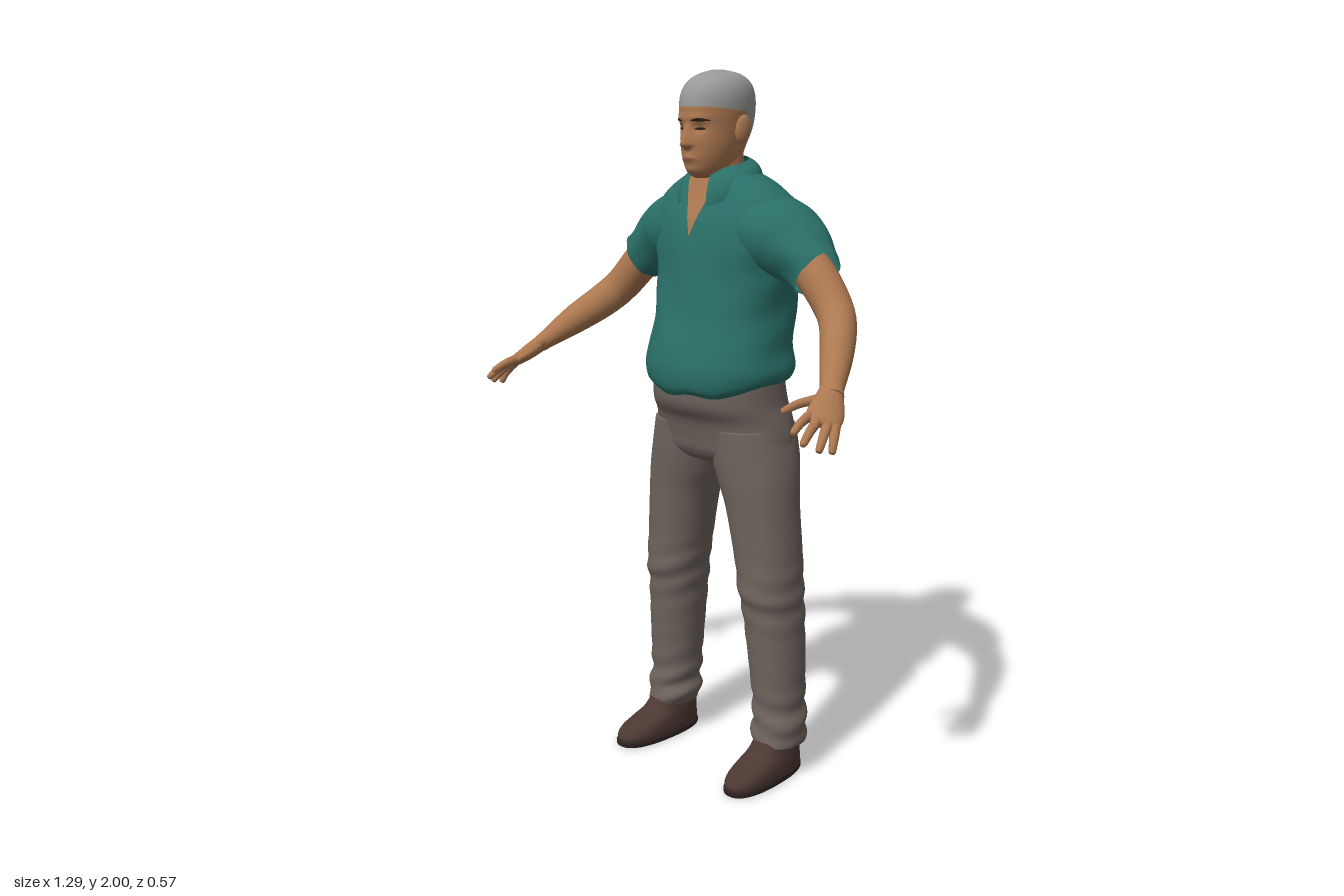
import * as THREE from 'three';

const mat = (name, color, side = THREE.FrontSide) => {
  const m = new THREE.MeshStandardMaterial({ color, side });
  m.name = name;
  return m;
};

// Catmull-Rom blend of rows of numbers, t from 0 to 1
function sample(rows, t) {
  const f = Math.min(Math.max(t, 0), 1) * (rows.length - 1);
  const i = Math.min(Math.floor(f), rows.length - 2), k = f - i;
  const row = (j) => rows[Math.min(Math.max(j, 0), rows.length - 1)];
  return rows[0].map((_, c) => {
    const [a, b, d, e] = [row(i - 1)[c], row(i)[c], row(i + 1)[c], row(i + 2)[c]];
    return b + 0.5 * k * (d - a + k * (2 * a - 5 * b + 4 * d - e + k * (3 * (b - d) + e - a)));
  });
}

// Surface grid from fn(u, v); optionally closed around u, capped, and split in two materials
function grid(nu, nv, fn, { wrap = true, caps = false, second = null } = {}) {
  const cols = wrap ? nu : nu + 1, pts = [], lists = [[], []];
  for (let j = 0; j <= nv; j++) for (let i = 0; i < cols; i++) pts.push(fn(i / nu, j / nv));
  const tri = (a, b, c) => {
    const mid = pts[a].clone().add(pts[b]).add(pts[c]).divideScalar(3);
    lists[second && second(mid) ? 1 : 0].push(a, b, c);
  };
  const at = (i, j) => j * cols + (wrap ? i % nu : i);
  for (let j = 0; j < nv; j++) for (let i = 0; i < nu; i++) {
    tri(at(i, j), at(i + 1, j), at(i + 1, j + 1));
    tri(at(i, j), at(i + 1, j + 1), at(i, j + 1));
  }
  if (caps) for (const j of [0, nv]) {
    const c = new THREE.Vector3();
    for (let i = 0; i < nu; i++) c.addScaledVector(pts[at(i, j)], 1 / nu);
    const n = pts.push(c) - 1;
    for (let i = 0; i < nu; i++) j ? tri(at(i, j), at(i + 1, j), n) : tri(at(i + 1, j), at(i, j), n);
  }
  const g = new THREE.BufferGeometry().setFromPoints(pts);
  g.setIndex([...lists[0], ...lists[1]]);
  if (second) {
    g.addGroup(0, lists[0].length, 0);
    g.addGroup(lists[0].length, lists[1].length, 1);
  }
  g.computeVertexNormals();
  return g;
}

// Upright loft; rows are [y, centre x, front z, back z, half width], bottom to top
function loft(rows, { nu = 48, nv = 40, n = 2, warp = null, ...rest } = {}) {
  const pw = (c) => Math.sign(c) * Math.abs(c) ** (2 / n);
  return grid(nu, nv, (u, v) => {
    const [y, cx, zf, zb, hw] = sample(rows, v), a = u * Math.PI * 2;
    const p = new THREE.Vector3(cx + hw * pw(Math.cos(a)), y, (zf + zb) / 2 - ((zf - zb) / 2) * pw(Math.sin(a)));
    if (warp) warp(p, v, (zf + zb) / 2);
    return p;
  }, { caps: true, ...rest });
}

// Limb along a path; rows are [x, y, z, sideways radius, upright radius]
function limb(rows, { nu = 20, nv = 24, roll = 0, caps = true, warp = null } = {}) {
  const pos = (t) => new THREE.Vector3(...sample(rows, t).slice(0, 3));
  return grid(nu, nv, (u, v) => {
    const r = sample(rows, v), a = u * Math.PI * 2;
    const T = pos(v + 0.02).sub(pos(v - 0.02)).normalize();
    const S = new THREE.Vector3(0, 1, 0).cross(T).normalize().applyAxisAngle(T, roll);
    const N = T.clone().cross(S), k = warp ? warp(a, v) : 1;
    return pos(v).addScaledVector(S, r[3] * k * Math.cos(a)).addScaledVector(N, r[4] * k * Math.sin(a));
  }, { caps });
}

// Front surface z of an upright loft at (x, y)
function frontZ(rows, x, y, n = 2) {
  let lo = 0, hi = 1;
  for (let i = 0; i < 24; i++) {
    const m = (lo + hi) / 2;
    if (sample(rows, m)[0] < y) lo = m; else hi = m;
  }
  const [, , zf, zb, hw] = sample(rows, lo);
  return (zf + zb) / 2 + ((zf - zb) / 2) * Math.max(0, 1 - Math.abs(x / hw) ** n) ** (1 / n);
}

const HEAD = [[1.715, 0, 0.012, -0.05, 0.022], [1.73, 0, 0.034, -0.1, 0.045], [1.76, 0, 0.045, -0.135, 0.063],
  [1.8, 0, 0.05, -0.155, 0.075], [1.85, 0, 0.05, -0.18, 0.083], [1.9, 0, 0.052, -0.188, 0.088],
  [1.94, 0, 0.044, -0.184, 0.086], [1.97, 0, 0.022, -0.168, 0.073], [1.99, 0, -0.015, -0.135, 0.048], [2, 0, -0.055, -0.085, 0.012]];
const TORSO = [[1.14, 0, 0.085, -0.235, 0.195], [1.16, 0, 0.1, -0.255, 0.212], [1.2, 0, 0.105, -0.265, 0.22],
  [1.26, 0, 0.095, -0.265, 0.208], [1.35, 0, 0.072, -0.275, 0.202], [1.45, 0, 0.055, -0.284, 0.21],
  [1.53, 0, 0.045, -0.282, 0.228], [1.6, 0, 0.03, -0.265, 0.235], [1.65, 0, 0.01, -0.242, 0.222],
  [1.69, 0, -0.005, -0.212, 0.175], [1.725, 0, -0.017, -0.18, 0.11], [1.745, 0, -0.025, -0.16, 0.075]];
const PELVIS = [[0.905, 0, -0.06, -0.15, 0.06], [0.93, 0, 0, -0.215, 0.17], [0.96, 0, 0.025, -0.235, 0.222],
  [1.0, 0, 0.035, -0.245, 0.224], [1.05, 0, 0.05, -0.25, 0.213], [1.1, 0, 0.08, -0.245, 0.2], [1.18, 0, 0.085, -0.235, 0.19]];
const LEG = [[0.1, 0.217, -0.03, -0.19, 0.068], [0.14, 0.215, -0.028, -0.192, 0.077], [0.2, 0.211, -0.036, -0.192, 0.072],
  [0.35, 0.202, -0.026, -0.196, 0.078], [0.5, 0.191, -0.012, -0.2, 0.083], [0.56, 0.186, 0, -0.2, 0.086], [0.65, 0.176, 0, -0.2, 0.092],
  [0.8, 0.154, 0.01, -0.203, 0.101], [0.88, 0.135, 0.018, -0.216, 0.113], [0.95, 0.118, 0.025, -0.233, 0.117], [1.03, 0.108, 0.03, -0.235, 0.106]];
const SHOE = [[0.014, 0.218, 0.112, -0.186, 0.058], [0.03, 0.218, 0.114, -0.187, 0.06], [0.048, 0.218, 0.098, -0.186, 0.059],
  [0.065, 0.217, 0.055, -0.184, 0.057], [0.085, 0.216, 0.005, -0.18, 0.054], [0.125, 0.216, -0.035, -0.172, 0.05]];
const SOLE = [[0, 0.218, 0.112, -0.184, 0.059], [0.004, 0.218, 0.117, -0.19, 0.062], [0.016, 0.218, 0.118, -0.19, 0.062], [0.02, 0.218, 0.114, -0.186, 0.059]];

// Relief of the face: nose, brow, sockets, lips and chin
function relief(x, y) {
  const bump = (cx, cy, sx, sy) => Math.exp(-(((Math.abs(x) - cx) / sx) ** 2) - ((y - cy) / sy) ** 2);
  const ridge = y > 1.803 ? Math.max(0, 1 - (y - 1.803) / 0.06) : Math.max(0, 1 - (1.803 - y) / 0.014);
  return 0.027 * ridge * Math.exp(-((x / (0.008 + 0.007 * ridge)) ** 2)) + 0.006 * bump(0, 1.766, 0.022, 0.01)
    + 0.005 * bump(0.03, 1.873, 0.03, 0.01) - 0.008 * bump(0.034, 1.846, 0.016, 0.013) + 0.004 * bump(0, 1.738, 0.02, 0.012);
}

export function createModel() {
  const model = new THREE.Group();
  model.name = 'standingMan';
  const skin = mat('skin', 0xac7850), hair = mat('greyHair', 0x989896), shirt = mat('tealShirt', 0x2a7068, THREE.DoubleSide);
  const cloth = mat('trouserCloth', 0x6e645d), leather = mat('shoeLeather', 0x4c3832), soleMat = mat('shoeSole', 0x2e2320);
  const dark = mat('browAndEye', 0x2c1d17), lip = mat('lips', 0x8f5b45);
  const add = (name, geometry, material) => {
    const m = new THREE.Mesh(geometry, material);
    m.name = name;
    model.add(m);
    return m;
  };

  // Head with cropped hair running down behind the ears
  add('head', loft(HEAD, {
    nu: 112, nv: 110,
    warp: (p, v, cz) => { if (p.z > cz) p.z += relief(p.x, p.y); },
    second: (p) => p.y > 1.903 - 0.1 * Math.max(0, 0.03 - p.z) - 3 * Math.max(0, -0.09 - p.z),
  }), [skin, hair]);
  add('neck', loft([[1.58, 0, -0.02, -0.16, 0.07], [1.68, 0, -0.022, -0.155, 0.064], [1.74, 0, -0.015, -0.15, 0.062], [1.8, 0, -0.01, -0.145, 0.06]]), skin);

  // Thin facial details laid over the face
  const patch = (name, cx, cy, w, h, material, bend) => {
    const g = new THREE.PlaneGeometry(w, h, 12, 3), p = g.attributes.position;
    for (let i = 0; i < p.count; i++) {
      const k = (2 * p.getX(i)) / w, x = cx + p.getX(i);
      const y = cy + p.getY(i) * (1 - 0.8 * k * k) - bend * k * k;
      p.setXYZ(i, x, y, frontZ(HEAD, x, y) + relief(x, y) + 0.0025);
    }
    g.computeVertexNormals();
    add(name, g, material);
  };
  patch('mouth', 0, 1.766, 0.046, 0.011, lip, 0.001);
  for (const s of [1, -1]) {
    patch('eyebrow', s * 0.038, 1.869, 0.044, 0.008, dark, 0.003);
    patch('eye', s * 0.035, 1.846, 0.026, 0.007, dark, 0.001);
    const ear = add('ear', new THREE.SphereGeometry(1, 20, 14), skin);
    ear.scale.set(0.011, 0.038, 0.023);
    ear.position.set(s * 0.09, 1.845, -0.072);
    ear.rotation.set(-0.15, s * -0.3, s * -0.12);
  }

  // Shirt body with soft folds and a hem that dips in front
  add('shirtBody', loft(TORSO, {
    nu: 80, nv: 70, n: 2.25,
    warp: (p, v, cz) => {
      const fade = Math.sin(Math.PI * v), back = p.z < cz ? 1 : 0.35;
      p.z += back * fade * 0.007 * Math.sin(p.x * 34 + 3 * Math.sin(p.y * 9));
      p.x *= 1 + fade * 0.012 * Math.sin(p.y * 46 + p.z * 18);
      p.y += Math.max(0, 1 - v * 5) * (0.012 - 0.2 * Math.max(0, p.z + 0.04) + 0.005 * Math.sin(p.x * 40));
    },
  }), shirt);

  // Open neckline
  add('openNeckline', grid(12, 16, (u, v) => {
    const y = 1.56 + 0.178 * v, x = (2 * u - 1) * 0.05 * Math.min(1, v * 1.25);
    return new THREE.Vector3(x, y, frontZ(TORSO, x, y, 2.25) + 0.006);
  }, { wrap: false }), skin);

  // Folded collar, open at the front
  add('collar', grid(56, 8, (u, v) => {
    const a = (2 * u - 1) * (Math.PI - 0.42), f = (1 - Math.cos(a)) / 2, out = Math.sin((v * Math.PI) / 2);
    const rx = 0.074 + 0.044 * out, rz = 0.074 + (0.03 + 0.022 * f) * out;
    return new THREE.Vector3(rx * Math.sin(a), 1.772 - 0.035 * f - v * (0.05 + 0.052 * f * f) + 0.008 * Math.sin(v * Math.PI),
      -0.085 - rz * Math.cos(a));
  }, { wrap: false }), shirt);

  // Trouser seat with a shallow cleft behind
  add('trouserSeat', loft(PELVIS, {
    nu: 64, n: 2.3,
    warp: (p, v, cz) => { if (p.z < cz) p.z += 0.024 * Math.exp(-((p.x / 0.03) ** 2)) * Math.max(0, Math.min(1, (1.1 - p.y) * 10)); },
  }), cloth);

  for (const s of [1, -1]) {
    const flip = (rows) => rows.map(([x, ...r]) => [x * s, ...r]);
    const shift = (rows) => rows.map(([y, x, ...r]) => [y, x * s, ...r]);

    // Sleeve and bare arm
    add('sleeve', limb(flip([[0.13, 1.578, -0.115, 0.13, 0.11], [0.2, 1.553, -0.12, 0.122, 0.107], [0.255, 1.524, -0.117, 0.098, 0.095],
      [0.3, 1.495, -0.11, 0.078, 0.08], [0.333, 1.472, -0.104, 0.07, 0.072]]), {
      nu: 40, nv: 30, caps: false, warp: (a, v) => 1 + 0.04 * v * Math.sin(3 * a + v * 9) + 0.02 * v * Math.sin(7 * a),
    }), shirt);
    add('arm', limb(flip([[0.25, 1.53, -0.105, 0.05, 0.055], [0.33, 1.465, -0.102, 0.054, 0.056], [0.405, 1.385, -0.085, 0.051, 0.052],
      [0.45, 1.335, -0.045, 0.048, 0.05], [0.5, 1.28, 0.025, 0.042, 0.043], [0.545, 1.225, 0.095, 0.031, 0.028], [0.56, 1.208, 0.115, 0.031, 0.025]]), { nu: 28, nv: 40 }), skin);

    // Hand with spread fingers
    add('palm', limb(flip([[0.545, 1.226, 0.095, 0.028, 0.024], [0.562, 1.203, 0.125, 0.037, 0.023],
      [0.58, 1.178, 0.16, 0.046, 0.02], [0.592, 1.161, 0.19, 0.043, 0.015], [0.597, 1.155, 0.2, 0.028, 0.008]]), { roll: -0.4 * s }), skin);
    const fingers = {
      thumb: [0.548, 1.205, 0.125, 0.518, 1.196, 0.185, 0.508, 1.182, 0.243],
      indexFinger: [0.56, 1.178, 0.188, 0.568, 1.165, 0.24, 0.577, 1.145, 0.283],
      middleFinger: [0.58, 1.17, 0.185, 0.595, 1.148, 0.238, 0.605, 1.12, 0.28],
      ringFinger: [0.6, 1.16, 0.177, 0.618, 1.132, 0.218, 0.628, 1.102, 0.247],
      littleFinger: [0.615, 1.153, 0.168, 0.63, 1.122, 0.192, 0.637, 1.092, 0.207],
    };
    for (const [name, [a, b, c, d, e, f, x, y, z]] of Object.entries(fingers)) {
      add(name, limb(flip([[a, b, c, 0.014, 0.014], [d, e, f, 0.0115, 0.0115],
        [d + (x - d) * 0.85, e + (y - e) * 0.85, f + (z - f) * 0.85, 0.009, 0.009], [x, y, z, 0.003, 0.003]]), { nu: 12, nv: 16 }), skin);
    }

    // Trouser leg with creases gathering at the knee and cuff
    add('trouserLeg', loft(shift(LEG), {
      nu: 44, nv: 90, n: 2.15,
      warp: (p) => {
        const low = Math.exp(-(((p.y - 0.17) / 0.09) ** 2)) + 0.5 * Math.exp(-(((p.y - 0.53) / 0.1) ** 2));
        const w = 0.004 * low * Math.sin(p.y * 85 + p.x * s * 25 + p.z * 12);
        p.x += w * Math.sign(p.x - s * 0.2);
        p.z += w * Math.sign(p.z + 0.11);
      },
    }), cloth);

    // Shoe, toes turned slightly outward
    const splay = (p) => { p.x += s * 0.04 * (p.z + 0.04); };
    add('shoeUpper', loft(shift(SHOE), { n: 2.4, nv: 24, warp: splay }), leather);
    add('shoeSole', loft(shift(SOLE), { n: 2.4, nv: 8, warp: splay }), soleMat);
  }
  return model;
}
